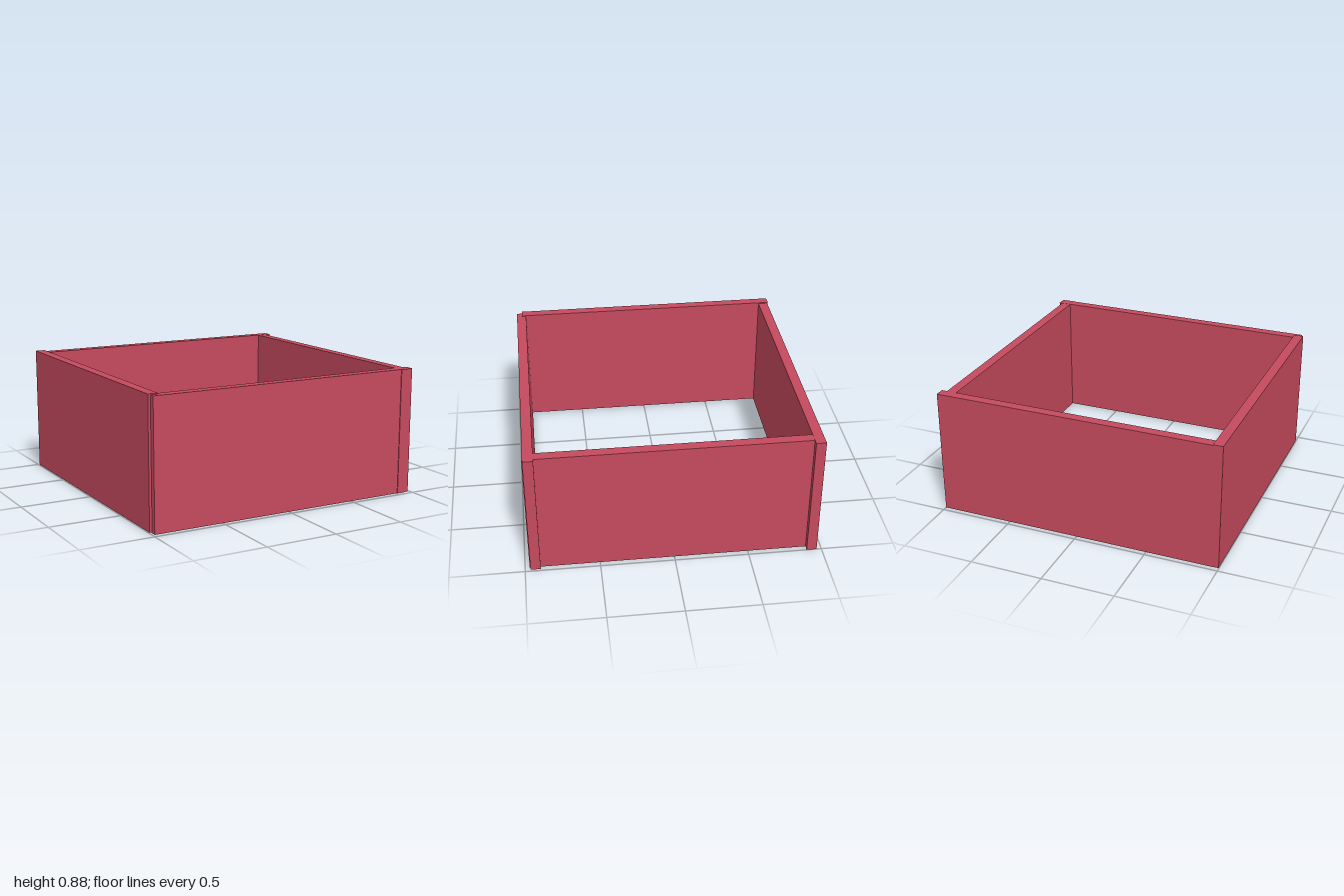
import * as THREE from 'three';

export function createModel() {
  const group = new THREE.Group();
  const material = new THREE.MeshStandardMaterial({ color: 0xc54a5e, flatShading: true });

  // Upright board given by its limits on each axis
  const board = (name, [x0, x1], [y0, y1], [z0, z1]) => {
    const mesh = new THREE.Mesh(new THREE.BoxGeometry(x1 - x0, y1 - y0, z1 - z0), material);
    mesh.position.set((x0 + x1) / 2, (y0 + y1) / 2, (z0 + z1) / 2);
    mesh.name = name;
    group.add(mesh);
  };

  // Four boards overlapping slightly unevenly at the corners
  board('frontBoard', [-0.983, 0.985], [0, 0.873], [0.897, 0.965]);
  board('backBoard', [-0.97, 1], [0, 0.873], [-0.967, -0.899]);
  board('rightBoard', [-1, -0.932], [0.005, 0.88], [-0.972, 0.927]);
  board('leftBoard', [0.893, 0.962], [0, 0.872], [-0.925, 0.97]);

  return group;
}
